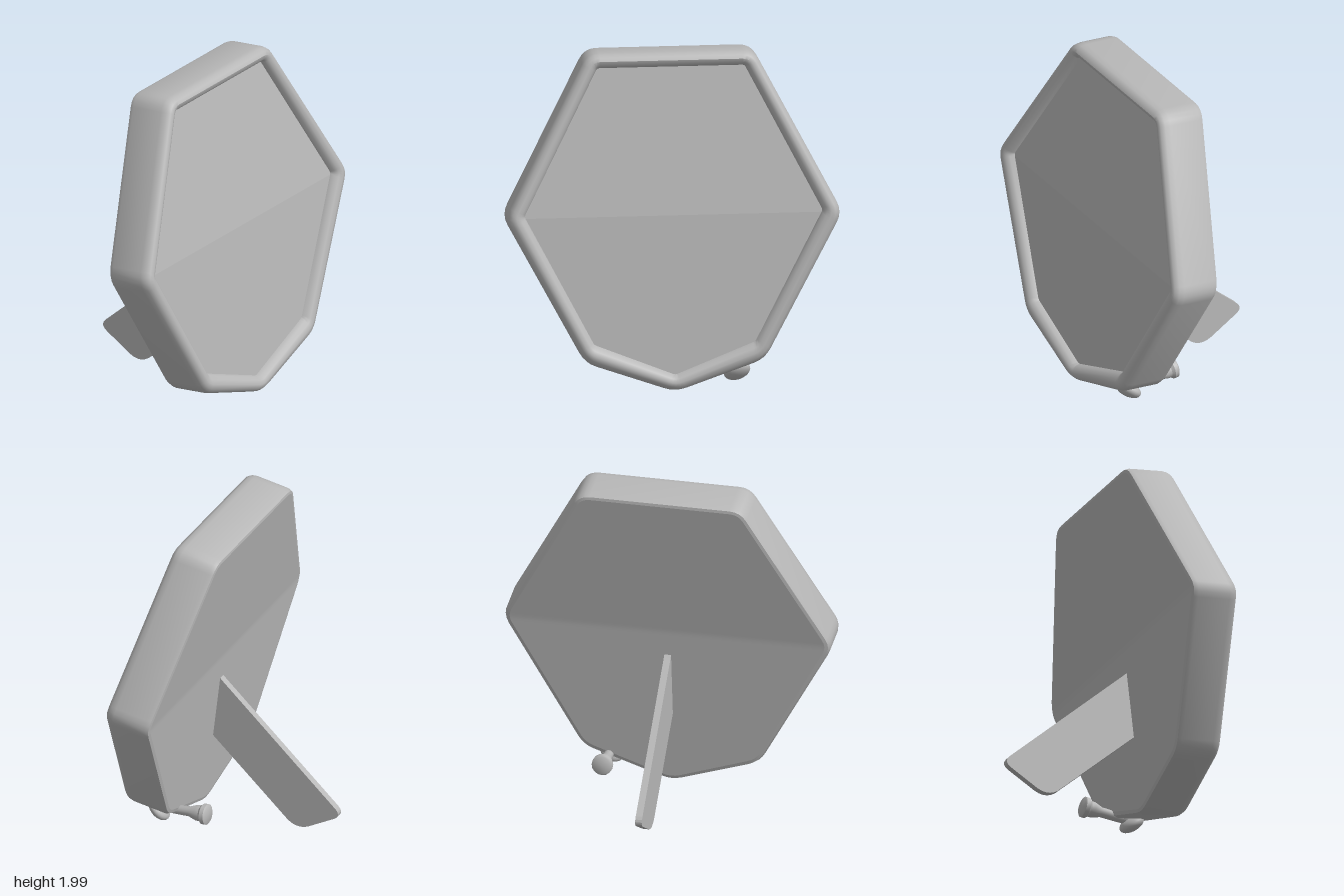
import * as THREE from 'three';
import { mergeVertices, toCreasedNormals } from 'three/addons/utils/BufferGeometryUtils.js';

const grey = new THREE.MeshStandardMaterial({ color: 0xb8b8b8 });
grey.name = 'plain grey';

// heptagon corners, counter-clockwise from the bottom: outer edge and inner edge of the rim
const OUTER = [[0, 0], [0.525, 0.18], [0.985, 1.03], [0.485, 1.965], [-0.485, 1.965], [-0.985, 1.03], [-0.525, 0.18]];
const INNER = [[0, 0.1], [0.47, 0.285], [0.87, 1.045], [0.43, 1.88], [-0.43, 1.88], [-0.87, 1.045], [-0.47, 0.285]];

// the body leans back and bends at mid height
const backZ = (y) => (y > 1.03 ? 0.165 - (y - 1.03) * 0.219 : 0.165 + (1.03 - y) * 0.115);

// one rounded heptagon, inset 0..1 from outer to inner edge, pushed forward by depth
function ring(inset, depth) {
  const c = OUTER.map((o, i) => new THREE.Vector2(...o).lerp(new THREE.Vector2(...INNER[i]), inset));
  const pts = [];
  const r = 0.07 * (1 - 0.8 * inset);
  c.forEach((p, i) => {
    const toward = (q) => p.clone().add(q.clone().sub(p).setLength(r));
    const curve = new THREE.QuadraticBezierCurve(toward(c[(i + 6) % 7]), p, toward(c[(i + 1) % 7]));
    pts.push(...curve.getPoints(4));
  });
  pts.push(...pts.splice(0, 2)); // start at the middle of the bottom corner
  return pts.map((p) => [p.x, p.y + depth * 0.125, backZ(p.y) + depth]);
}

function indexed(positions, index, crease) {
  const g = new THREE.BufferGeometry();
  g.setAttribute('position', new THREE.Float32BufferAttribute(positions.flat(), 3));
  g.setIndex(index);
  return toCreasedNormals(mergeVertices(g), crease);
}

// skin between successive rings
function skin(rings) {
  const n = rings[0].length, index = [];
  for (let k = 0; k < rings.length - 1; k++) {
    for (let i = 0; i < n; i++) {
      const a = k * n + i, b = k * n + (i + 1) % n;
      index.push(a, b, b + n, a, b + n, a + n);
    }
  }
  return indexed(rings.flat(), index, 0.75);
}

// flat strips joining the mirrored points of a ring
function cap(points, front) {
  const n = points.length, index = [];
  for (let i = 0; i < (n - 1) / 2; i++) {
    const a = i, b = i + 1, c = n - i - 1, d = (n - i) % n;
    const tris = [[a, b, c], [a, c, d]];
    for (const t of tris) {
      if (new Set(t).size === 3) index.push(...(front ? t : t.reverse()));
    }
  }
  return indexed(points, index, 0.1);
}

function add(group, name, geometry) {
  const mesh = new THREE.Mesh(geometry, grey);
  mesh.name = name;
  group.add(mesh);
  return mesh;
}

export function createModel() {
  const model = new THREE.Group();
  model.name = 'standingFrame';

  // casing with softened back edge and rounded front bead
  const profile = [[0.3, 0], [0.1, 0.005], [0, 0.03], [0, 0.23], [0.07, 0.262], [0.25, 0.283],
    [0.5, 0.29], [0.75, 0.28], [0.93, 0.262], [1, 0.235]];
  add(model, 'frame', skin(profile.map(([inset, depth]) => ring(inset, depth))));
  add(model, 'frontPanel', cap(ring(1, 0.235), true));
  add(model, 'backPanel', cap(ring(0.3, 0), false));

  // easel leg, drawn in z and y
  const leg = new THREE.Shape();
  leg.moveTo(0.24, 0.48);
  leg.lineTo(0.21, 0.9);
  leg.lineTo(0.17, 0.86);
  leg.lineTo(-0.57, 0.19);
  leg.quadraticCurveTo(-0.61, 0.15, -0.56, 0.12);
  leg.lineTo(-0.39, 0.02);
  leg.quadraticCurveTo(-0.32, -0.015, -0.26, 0.03);
  leg.closePath();
  const legGeo = new THREE.ExtrudeGeometry(leg, { depth: 0.04, bevelEnabled: false, curveSegments: 5 });
  legGeo.translate(0, 0, -0.02).rotateY(-Math.PI / 2);
  add(model, 'easelLeg', legGeo);

  // winding key under the lower left edge: oval pad, then a stem with a flared end
  const key = new THREE.Group();
  key.name = 'windingKey';
  const pad = add(key, 'keyPad', new THREE.SphereGeometry(1, 20, 14));
  pad.scale.set(0.08, 0.042, 0.078);
  pad.position.set(0.37, 0.113, 0.4);
  pad.rotation.set(-0.75, 0, 0.25);
  const stemProfile = [[0, 0], [0.027, 0], [0.03, 0.19], [0.047, 0.24], [0.048, 0.265], [0.062, 0.28], [0.062, 0.305], [0.052, 0.312], [0, 0.312]];
  const stemGeo = new THREE.LatheGeometry(stemProfile.map((p) => new THREE.Vector2(...p)), 16);
  const stem = add(key, 'keyStem', toCreasedNormals(stemGeo, 0.7));
  stem.rotation.x = -Math.PI / 2 + 0.1;
  stem.position.set(0.37, 0.13, 0.39);
  model.add(key);

  return model;
}
